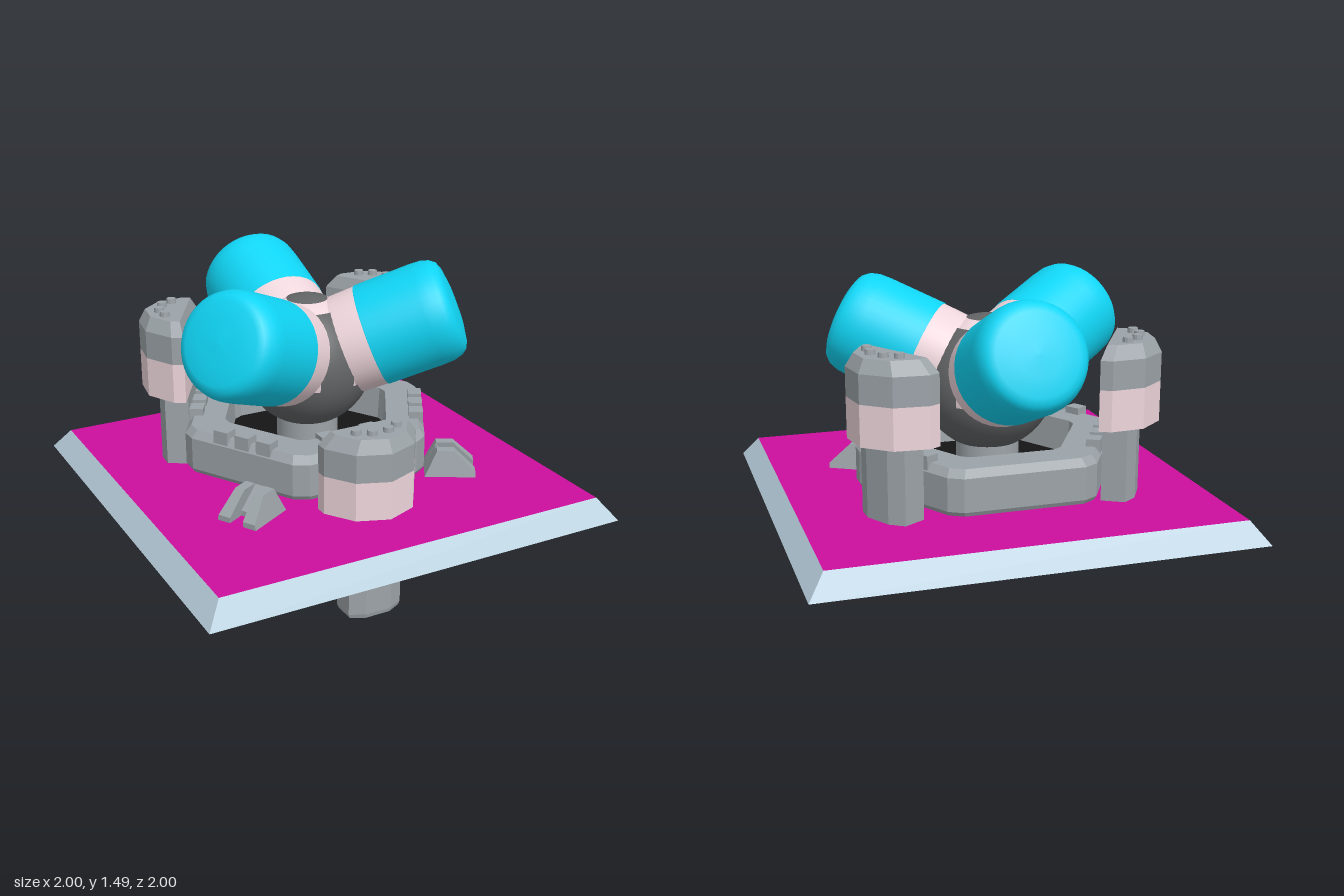
import * as THREE from 'three';

const paint = (color, flatShading = true) => new THREE.MeshStandardMaterial({ color, flatShading });
const grey = paint(0x9ca3a8);
const pink = paint(0xeed6dc);
const pinkSmooth = paint(0xeed6dc, false);
const cyan = paint(0x10d5f5, false);
const dark = paint(0x626465, false);
const black = paint(0x151515);
const magenta = paint(0xcc0e9e);
const paleBlue = paint(0xb9d0de);

const HUB_Z = -0.11;
const THIRD = (Math.PI * 2) / 3;

function add(parent, name, geometry, material, x = 0, y = 0, z = 0) {
  const mesh = new THREE.Mesh(geometry, material);
  mesh.name = name;
  mesh.position.set(x, y, z);
  parent.add(mesh);
  return mesh;
}

function spoke(parent, name, angle) {
  const group = new THREE.Group();
  group.name = name;
  group.rotation.y = angle;
  parent.add(group);
  return group;
}

// Sweeps an [x, z] outline through [scale, y] levels, scaling about z = cz
function loft(outline, levels, cz = 0) {
  const pos = [];
  const at = ([x, z], [s, y]) => [x * s, y, cz + (z - cz) * s];
  for (let l = 0; l < levels.length - 1; l++) {
    const lo = levels[l], hi = levels[l + 1];
    outline.forEach((p, i) => {
      const q = outline[(i + 1) % outline.length];
      if (lo[0] > 0) pos.push(...at(p, lo), ...at(q, lo), ...at(q, hi));
      if (hi[0] > 0) pos.push(...at(p, lo), ...at(q, hi), ...at(p, hi));
    });
  }
  const geo = new THREE.BufferGeometry();
  geo.setAttribute('position', new THREE.Float32BufferAttribute(pos, 3));
  geo.computeVertexNormals();
  return geo;
}

// Mirrors the +x half of an outline, listed from front to back
const mirrored = (half) => [
  ...half,
  ...half.filter(([x]) => x > 0).reverse().map(([x, z]) => [-x, z]),
];

const lathe = (points) =>
  new THREE.LatheGeometry(points.map(([r, y]) => new THREE.Vector2(r, y)), 40);

function buildPlatform(parent) {
  const square = [[-1, 1], [1, 1], [1, -1], [-1, -1]];
  add(parent, 'platformFrame', loft(square, [[0, 0.43], [1, 0.43], [0.925, 0.53]]), paleBlue);
  add(parent, 'platformTop', loft(square, [[0.925, 0.53], [0, 0.53]]), magenta);
}

function buildBase(hub) {
  // Hexagonal ring with clipped corners
  const hexagon = [];
  for (let k = 0; k < 6; k++) {
    for (const d of [-3.5, 3.5]) {
      const t = THREE.MathUtils.degToRad(-30 + 60 * k + d);
      hexagon.push([0.613 * Math.sin(t), 0.613 * Math.cos(t)]);
    }
  }
  add(hub, 'baseRing', loft(hexagon, [
    [0.98, 0.58], [1, 0.6], [1, 0.75], [0.95, 0.785], [0.68, 0.785], [0.66, 0.58], [0.98, 0.58],
  ]), grey);
  add(hub, 'baseFloor', loft(hexagon, [[0, 0.59], [0.68, 0.59], [0.68, 0.63], [0, 0.63]]), black);

  // Latch blocks on four of the six edges
  for (const a of [THIRD / 2, -THIRD / 2, THIRD, -THIRD]) {
    const edge = spoke(hub, 'latchRow', a);
    for (const x of [-0.115, 0, 0.115]) {
      add(edge, 'latchBlock', new THREE.BoxGeometry(0.075, 0.075, 0.065), grey, x, 0.78, 0.512);
    }
  }

  // Front slot and its guide blocks
  add(hub, 'frontSlot', new THREE.BoxGeometry(0.3, 0.01, 0.07), black, 0, 0.784, 0.465);
  for (const x of [-0.11, 0.11]) {
    add(hub, 'slotGuide', new THREE.BoxGeometry(0.07, 0.04, 0.06), grey, x, 0.785, 0.39);
  }

  // Post running down through the platform
  add(hub, 'centrePost', lathe([[0.145, 0.16], [0.145, 0.8]]), paint(0x9ca3a8, false));
  add(hub, 'postDome', lathe([[0, 0.125], [0.06, 0.13], [0.11, 0.143], [0.145, 0.16]]), dark);
}

function buildPylon(hub, angle, lift) {
  const pylon = spoke(hub, 'pylon', angle);
  pylon.position.y = lift;
  const body = mirrored([[0, 0.785], [0.145, 0.73], [0.232, 0.6], [0.232, 0.545]]);
  const stem = mirrored([[0.065, 0.695], [0.135, 0.66], [0.135, 0.55]]);
  const cz = 0.64;
  add(pylon, 'pylonStem', loft(stem, [[0, 0], [0.95, 0], [1, 0.02], [1, 0.55]], 0.61), grey);
  add(pylon, 'pylonBand', loft(body, [[0, 0.525], [1, 0.525], [1, 0.71]], cz), pink);
  add(pylon, 'pylonHead', loft(body, [[1, 0.71], [1, 0.84], [0.78, 0.9], [0, 0.9]], cz), grey);
  for (const [x, z] of [[0.1, 0.645], [0.04, 0.68]]) {
    for (const s of [-1, 1]) {
      add(pylon, 'pylonBolt', new THREE.CylinderGeometry(0.022, 0.025, 0.03, 12), grey, s * x, 0.907, z);
    }
  }
}

function buildSphere(hub) {
  const sphere = new THREE.Group();
  sphere.name = 'core';
  sphere.position.y = 1.02;
  hub.add(sphere);
  add(sphere, 'coreShell', new THREE.SphereGeometry(0.305, 40, 24), pinkSmooth);
  add(sphere, 'coreCap', new THREE.SphereGeometry(0.312, 40, 6, 0, Math.PI * 2, 0, 0.31), dark);
  add(sphere, 'coreUnderside',
    new THREE.SphereGeometry(0.31, 40, 16, 0, Math.PI * 2, 1.75, Math.PI - 1.75), dark);
  // Dark panels between the arms
  for (const a of [0, THIRD, -THIRD]) {
    add(spoke(sphere, 'panel', a), 'corePanel',
      new THREE.SphereGeometry(0.311, 10, 10, Math.PI / 2 - 0.28, 0.56, 0.55, 1.3), dark);
  }
}

function buildArm(hub, angle) {
  const arm = spoke(hub, 'arm', angle);
  arm.position.y = 1.02;
  const tilt = new THREE.Group();
  tilt.name = 'armAxis';
  tilt.rotation.x = THREE.MathUtils.degToRad(68);
  arm.add(tilt);
  add(tilt, 'armCollar', lathe([[0.225, 0.17], [0.236, 0.2], [0.24, 0.33]]), pinkSmooth);
  add(tilt, 'armBarrel', lathe([
    [0.236, 0.32], [0.243, 0.325], [0.245, 0.6], [0.242, 0.65], [0.23, 0.69],
    [0.21, 0.715], [0.18, 0.728], [0.1, 0.74], [0, 0.744],
  ]), cyan);
}

// Wedge clamp with two prongs, standing on the platform
function buildClamp(hub, side) {
  const clamp = spoke(hub, 'clamp', side * THIRD / 2);
  const wedge = (name, x, width, reach, height) => {
    const shape = new THREE.Shape([
      [-0.115, 0], [reach, 0], [reach, 0.025], [reach - 0.1, height], [-0.06, height],
    ].map(([px, py]) => new THREE.Vector2(px, py)));
    const geo = new THREE.ExtrudeGeometry(shape, { depth: width, bevelEnabled: false });
    geo.rotateY(-Math.PI / 2);
    // Narrow the wedge towards its top
    const p = geo.attributes.position;
    for (let i = 0; i < p.count; i++) {
      p.setX(i, (p.getX(i) + width / 2 + x) * (1 - 2.2 * p.getY(i)));
    }
    geo.computeVertexNormals();
    add(clamp, name, geo, grey, -side * 0.143, 0.53, 0.672);
  };
  wedge('clampProng', -0.068, 0.065, 0.12, 0.12);
  wedge('clampProng', 0.068, 0.065, 0.12, 0.12);
  wedge('clampBridge', 0, 0.08, 0.035, 0.115);
}

export function createModel() {
  const model = new THREE.Group();
  model.name = 'reactor';
  buildPlatform(model);

  const hub = new THREE.Group();
  hub.name = 'hub';
  hub.position.z = HUB_Z;
  model.add(hub);

  buildBase(hub);
  buildSphere(hub);
  for (const a of [Math.PI, THIRD / 2, -THIRD / 2]) buildArm(hub, a);
  // The front pylon is sunk into the platform, the other two are raised
  buildPylon(hub, 0, 0);
  for (const s of [-1, 1]) {
    buildPylon(hub, s * THIRD, 0.355);
    buildClamp(hub, s);
  }
  return model;
}
